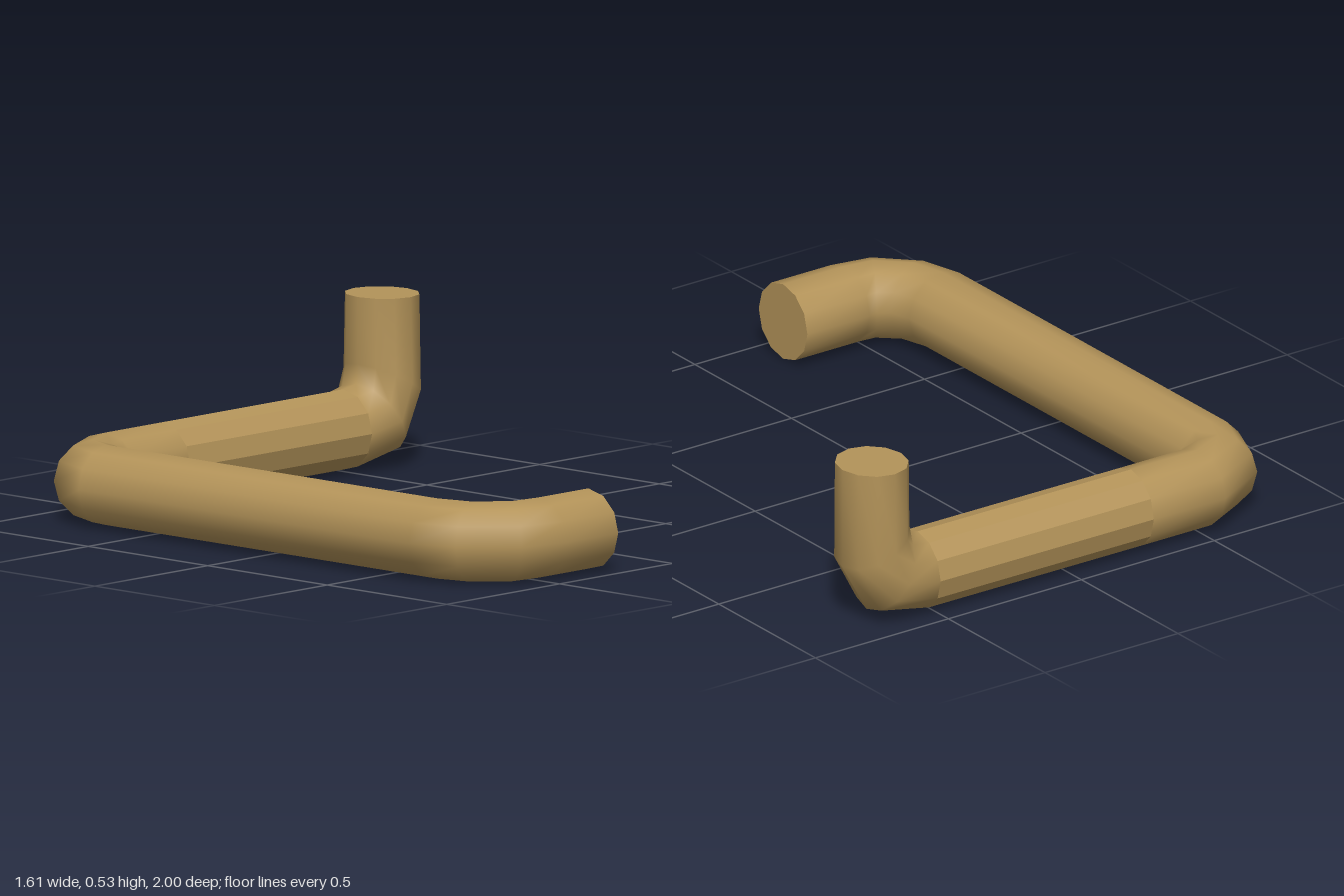
import * as THREE from 'three';

const SIDES = 12;
const material = new THREE.MeshStandardMaterial({ color: 0xb39359 });
const facetMaterial = material.clone();
facetMaterial.flatShading = true;

// A ring is a centre with two half axes, u and v.
// Ring in a level bend, from its inner and outer points (x, z).
function levelRing([ix, iz, ox, oz]) {
  return {
    c: new THREE.Vector3((ix + ox) / 2, 0.125, (iz + oz) / 2),
    u: new THREE.Vector3((ox - ix) / 2, 0, (oz - iz) / 2),
    v: new THREE.Vector3(0, 0.124, 0),
  };
}

// Ring in the upward bend, from its inner and outer points (x, y) and half depth.
function risingRing([ix, iy, ox, oy, depth]) {
  return {
    c: new THREE.Vector3((ix + ox) / 2, (iy + oy) / 2, -0.868),
    u: new THREE.Vector3(0, 0, -depth),
    v: new THREE.Vector3((ix - ox) / 2, (iy - oy) / 2, 0),
  };
}

function ringPoint({ c, u, v }, j) {
  const a = (j / SIDES) * Math.PI * 2;
  return c.clone().addScaledVector(u, Math.cos(a)).addScaledVector(v, Math.sin(a));
}

function buildMesh(name, points, index, mat) {
  const geometry = new THREE.BufferGeometry().setFromPoints(points);
  geometry.setIndex(index);
  geometry.computeVertexNormals();
  const mesh = new THREE.Mesh(geometry, mat);
  mesh.name = name;
  return mesh;
}

// Skin joining successive rings
function pipe(name, rings, mat) {
  const points = [], index = [];
  rings.forEach((ring, i) => {
    for (let j = 0; j < SIDES; j++) {
      points.push(ringPoint(ring, j));
      if (i === rings.length - 1) continue;
      const k = (j + 1) % SIDES;
      const a = i * SIDES + j, b = i * SIDES + k;
      index.push(a, b, a + SIDES, b, b + SIDES, a + SIDES);
    }
  });
  return buildMesh(name, points, index, mat);
}

// Flat disc closing a pipe end
function cap(name, ring, atStart) {
  const points = [ring.c], index = [];
  for (let j = 0; j < SIDES; j++) {
    points.push(ringPoint(ring, j));
    const a = j + 1, b = ((j + 1) % SIDES) + 1;
    index.push(0, ...(atStart ? [b, a] : [a, b]));
  }
  return buildMesh(name, points, index, material);
}

export function createModel() {
  // Front stub, front bend, side run and back bend
  const level = [
    [-0.245, 0.755, -0.24, 1.0],
    [-0.48, 0.755, -0.46, 1.0],
    [-0.51, 0.76, -0.63, 0.965],
    [-0.545, 0.735, -0.77, 0.82],
    [-0.565, 0.67, -0.81, 0.66],
    [-0.565, -0.72, -0.81, -0.72],
    [-0.55, -0.745, -0.745, -0.885],
    [-0.51, -0.752, -0.55, -0.99],
    [-0.28, -0.752, -0.28, -0.99],
  ].map(levelRing);

  // Upward bend and riser
  const rising = [
    [0.52, 0.25, 0.52, 0.002, 0.12],
    [0.575, 0.26, 0.712, 0.042, 0.13],
    [0.582, 0.32, 0.802, 0.205, 0.127],
    [0.582, 0.527, 0.802, 0.527, 0.12],
  ].map(risingRing);

  const group = new THREE.Group();
  group.name = 'bentPipe';
  group.add(
    pipe('frontAndSidePipe', level, material),
    pipe('backPipe', [level.at(-1), rising[0]], facetMaterial),
    pipe('risingPipe', rising, material),
    cap('frontEndCap', level[0], true),
    cap('topEndCap', rising.at(-1), false),
  );
  return group;
}
